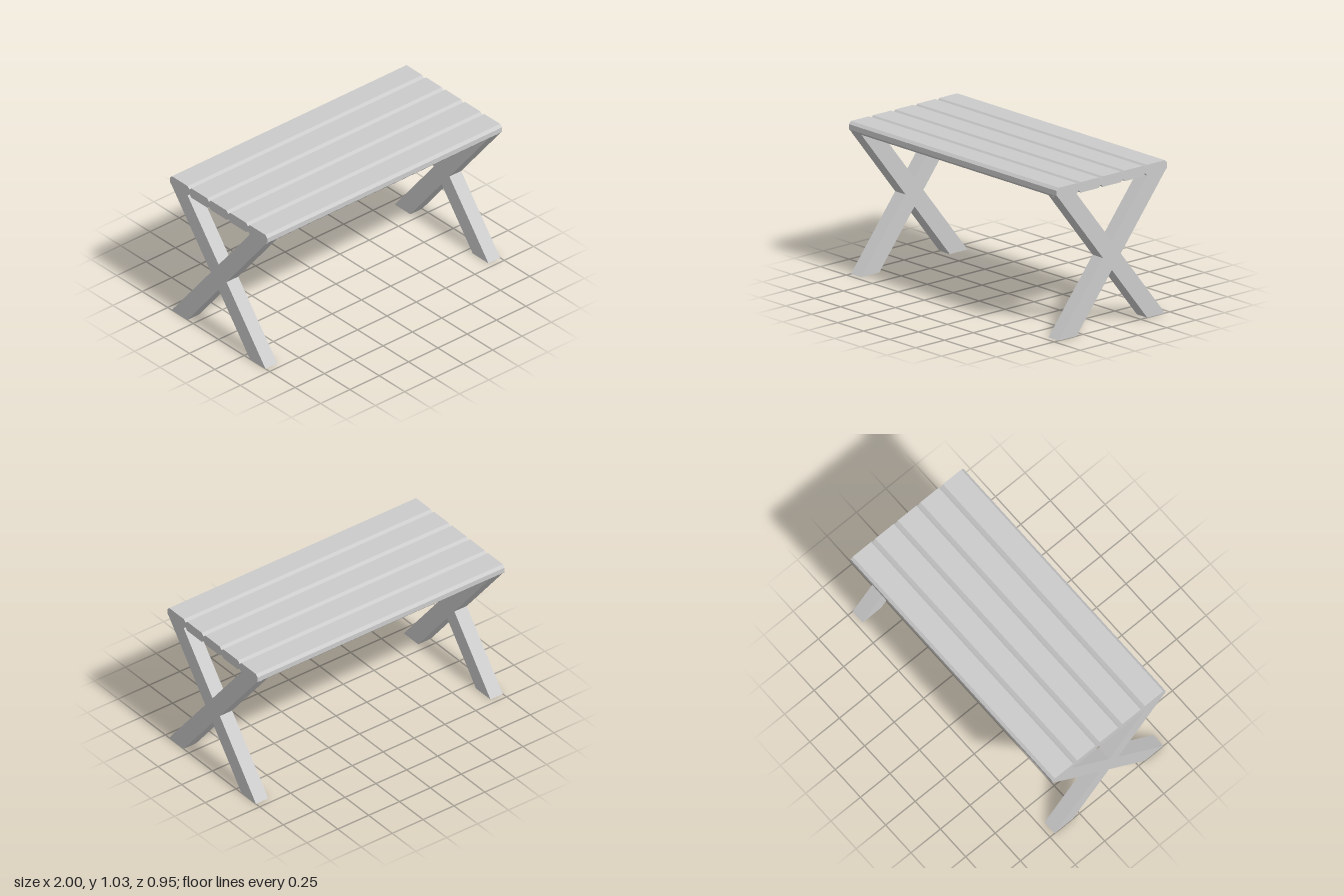
import * as THREE from 'three';

const LENGTH = 2, TOP = 1.028, UNDER = 0.957; // table length, top and underside heights
const PLANKS = 5, PITCH = 0.191, CHAMFER = 0.018;
const LEG_DEPTH = 0.1;

// Extrude a (z, y) outline along x, centred on x = 0
function extrudeAlongX(points, depth) {
  const shape = new THREE.Shape(points.map(([z, y]) => new THREE.Vector2(z, y)));
  const geometry = new THREE.ExtrudeGeometry(shape, { depth, bevelEnabled: false });
  geometry.rotateY(-Math.PI / 2);
  geometry.translate(depth / 2, 0, 0);
  return geometry;
}

export function createModel() {
  const model = new THREE.Group();
  model.name = 'slattedTable';
  const material = new THREE.MeshStandardMaterial({ color: 0xcccccc, flatShading: true });

  // Chamfered planks side by side
  const w = PITCH / 2, c = CHAMFER;
  const plankGeometry = extrudeAlongX([
    [-w + c, UNDER], [w - c, UNDER], [w, UNDER + c], [w, TOP - c],
    [w - c, TOP], [-w + c, TOP], [-w, TOP - c], [-w, UNDER + c],
  ], LENGTH);
  const tableTop = new THREE.Group();
  tableTop.name = 'tableTop';
  for (let i = 0; i < PLANKS; i++) {
    const plank = new THREE.Mesh(plankGeometry, material);
    plank.name = `plank${i + 1}`;
    plank.position.z = (i - (PLANKS - 1) / 2) * PITCH;
    tableTop.add(plank);
  }
  model.add(tableTop);

  // Crossed legs cut flush with the ground and the underside of the planks
  const outer = 0.46, inner = 0.306, waist = 0.077, mid = UNDER / 2;
  const crotch = mid * inner / ((outer + inner) / 2);
  const legGeometry = extrudeAlongX([
    [outer, 0], [waist, mid], [outer, UNDER], [inner, UNDER], [0, UNDER - crotch],
    [-inner, UNDER], [-outer, UNDER], [-waist, mid], [-outer, 0], [-inner, 0],
    [0, crotch], [inner, 0],
  ], LEG_DEPTH);
  for (const side of [1, -1]) {
    const legs = new THREE.Mesh(legGeometry, material);
    legs.name = side > 0 ? 'leftCrossedLegs' : 'rightCrossedLegs';
    legs.position.x = side * (LENGTH - LEG_DEPTH) / 2;
    model.add(legs);
  }
  return model;
}
